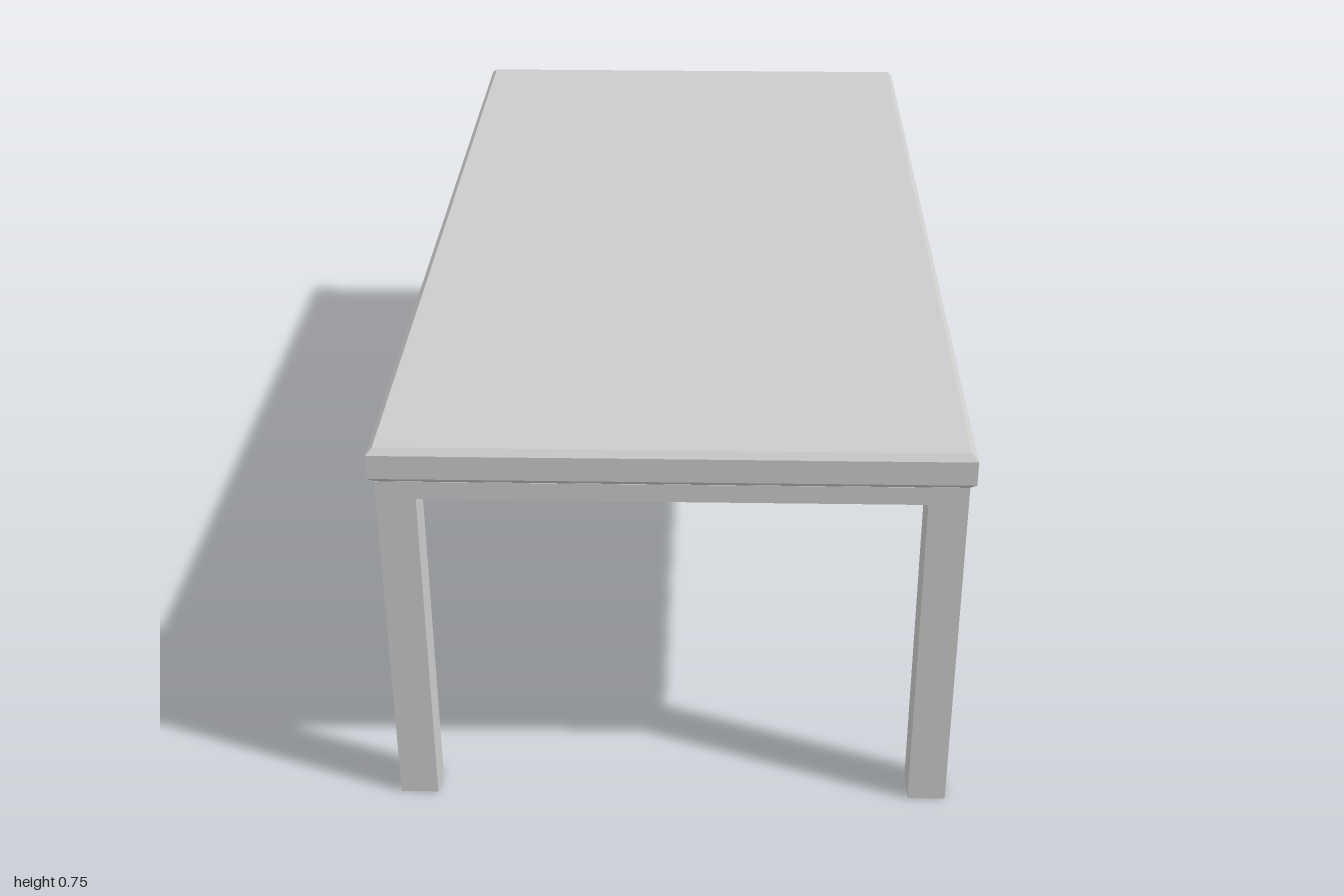
import * as THREE from 'three';

const material = new THREE.MeshStandardMaterial({ color: 0xcccccc, flatShading: true });

// Box given by its minimum and maximum on each axis
function block(name, [x0, x1], [y0, y1], [z0, z1]) {
  const mesh = new THREE.Mesh(new THREE.BoxGeometry(x1 - x0, y1 - y0, z1 - z0), material);
  mesh.position.set((x0 + x1) / 2, (y0 + y1) / 2, (z0 + z1) / 2);
  mesh.name = name;
  return mesh;
}

// Slab with chamfered upper and lower edges
function chamferedTop(halfX, halfZ, y0, y1, chamfer) {
  const x = halfX - chamfer, z = halfZ - chamfer;
  const shape = new THREE.Shape([
    new THREE.Vector2(-x, -z), new THREE.Vector2(x, -z),
    new THREE.Vector2(x, z), new THREE.Vector2(-x, z),
  ]);
  const geometry = new THREE.ExtrudeGeometry(shape, {
    depth: y1 - y0 - 2 * chamfer,
    bevelEnabled: true, bevelSegments: 1, bevelSize: chamfer, bevelThickness: chamfer,
  });
  geometry.rotateX(-Math.PI / 2);
  geometry.translate(0, y0 + chamfer, 0);
  const mesh = new THREE.Mesh(geometry, material);
  mesh.name = 'tabletop';
  return mesh;
}

export function createModel() {
  const table = new THREE.Group();
  table.name = 'table';

  const underside = 0.687, railBottom = 0.652;
  const legX = [0.445, 0.515], legZ = [0.92, 0.99], beamX = [0.22, 0.29];
  const mirror = ([a, b], side) => (side > 0 ? [a, b] : [-b, -a]);

  table.add(chamferedTop(0.525, 1, underside, 0.755, 0.011));

  for (const end of [1, -1]) {
    const z = mirror(legZ, end);
    const endName = end > 0 ? 'front' : 'back';
    // Legs at the corners
    for (const side of [1, -1]) {
      table.add(block(endName + (side > 0 ? 'LeftLeg' : 'RightLeg'), mirror(legX, side), [0, underside], z));
    }
    // Rail joining the two legs of this end
    table.add(block(endName + 'Rail', [-legX[0], legX[0]], [railBottom, underside], z));
  }

  // Long beams under the top, between the end rails
  for (const side of [1, -1]) {
    table.add(block(side > 0 ? 'leftBeam' : 'rightBeam', mirror(beamX, side),
      [railBottom, underside], [-legZ[0], legZ[0]]));
  }
  return table;
}
